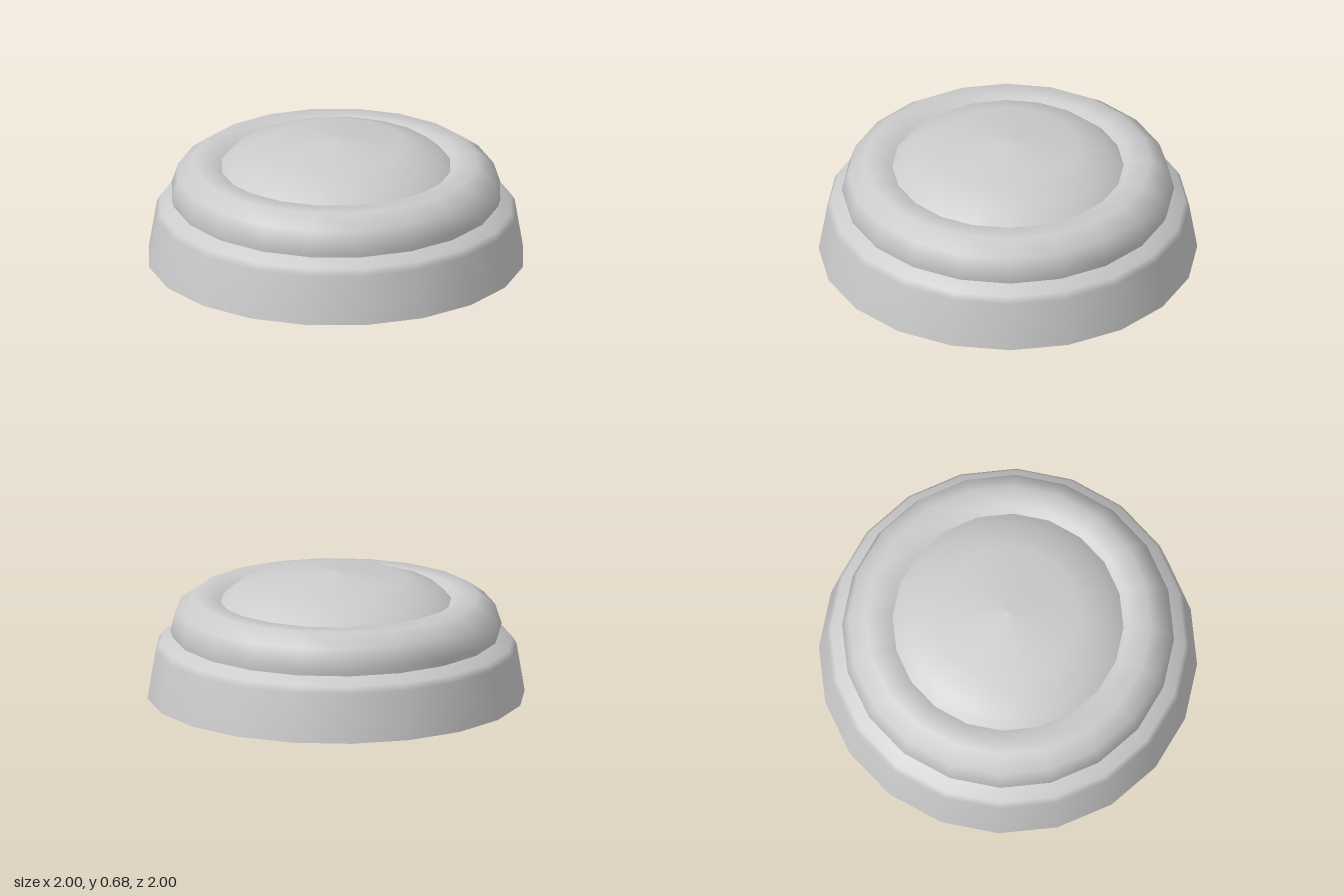
import * as THREE from 'three';

const SIDES = 20;

export function createModel() {
  const model = new THREE.Group();
  const material = new THREE.MeshStandardMaterial({ color: 0xcccccc, side: THREE.DoubleSide });

  // Thin open shell turned around the y axis; profile runs from bottom to top
  const turn = (name, profile) => {
    const points = profile.map(([r, y]) => new THREE.Vector2(r, y));
    const mesh = new THREE.Mesh(new THREE.LatheGeometry(points, SIDES), material);
    mesh.name = name;
    model.add(mesh);
  };

  // Flared base skirt with a bevelled shoulder
  turn('baseSkirt', [[1, 0], [0.957, 0.26], [0.936, 0.295], [0.85, 0.341]]);

  // Rounded collar: half of a ten-sided tube section, open underneath
  const collar = [];
  for (let i = -1; i <= 4; i++) {
    const a = (i * Math.PI) / 5;
    collar.push([0.7 + 0.178 * Math.cos(a), 0.371 + 0.178 * Math.sin(a)]);
  }
  turn('collarRing', collar);

  // Shallow domed cap set into the collar
  turn('domeCap', [[0.64, 0.49], [0.54, 0.577], [0.374, 0.636], [0, 0.675]]);

  return model;
}
